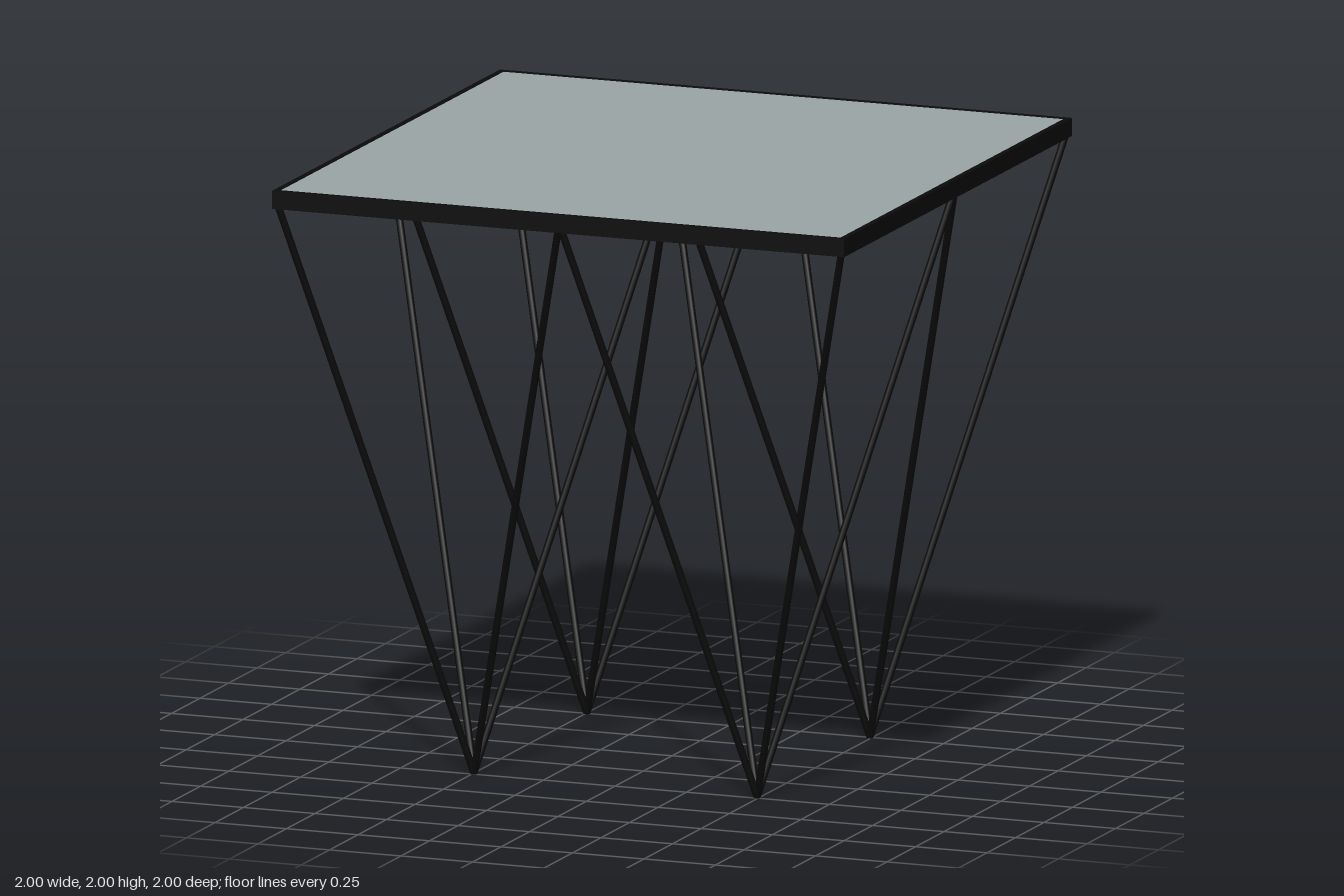
import * as THREE from 'three';

export function createModel() {
  const group = new THREE.Group();
  const black = new THREE.MeshStandardMaterial({ color: 0x0b0b0b });
  const glass = new THREE.MeshStandardMaterial({ color: 0x9ca6a6 });

  const half = 1, rim = 0.02, thick = 0.06, topY = 2;

  // square rim around the table top
  const outline = new THREE.Shape();
  const hole = new THREE.Path();
  const square = (path, h) => {
    path.moveTo(-h, -h).lineTo(h, -h).lineTo(h, h).lineTo(-h, h);
    path.closePath();
  };
  square(outline, half);
  square(hole, half - rim);
  outline.holes.push(hole);
  const rimGeometry = new THREE.ExtrudeGeometry(outline, { depth: thick, bevelEnabled: false });
  rimGeometry.rotateX(-Math.PI / 2);
  const frame = new THREE.Mesh(rimGeometry, black);
  frame.name = 'topFrame';
  frame.position.y = topY - thick;
  group.add(frame);

  // panel set inside the rim
  const inner = 2 * (half - rim);
  const panel = new THREE.Mesh(new THREE.BoxGeometry(inner, thick - 0.004, inner), glass);
  panel.name = 'topPanel';
  panel.position.y = topY - thick / 2;
  group.add(panel);

  // thin round rod between two points
  const up = new THREE.Vector3(0, 1, 0);
  function rod(a, b, radius) {
    const dir = b.clone().sub(a);
    const mesh = new THREE.Mesh(new THREE.CylinderGeometry(radius, radius, dir.length(), 12), black);
    mesh.position.copy(a).add(b).multiplyScalar(0.5);
    mesh.quaternion.setFromUnitVectors(up, dir.normalize());
    mesh.name = 'rod';
    return mesh;
  }

  // four legs, each an inverted pyramid of four rods under one quarter
  for (const sx of [-1, 1]) for (const sz of [-1, 1]) {
    const leg = new THREE.Group();
    leg.name = (sz > 0 ? 'front' : 'back') + (sx > 0 ? 'Left' : 'Right') + 'Leg';
    const foot = new THREE.Vector3(sx * 0.495, 0.005, sz * 0.495);
    for (const x of [0.005, 0.985]) for (const z of [0.005, 0.985]) {
      leg.add(rod(foot, new THREE.Vector3(sx * x, topY - thick + 0.01, sz * z), 0.012));
    }
    group.add(leg);
  }
  return group;
}
